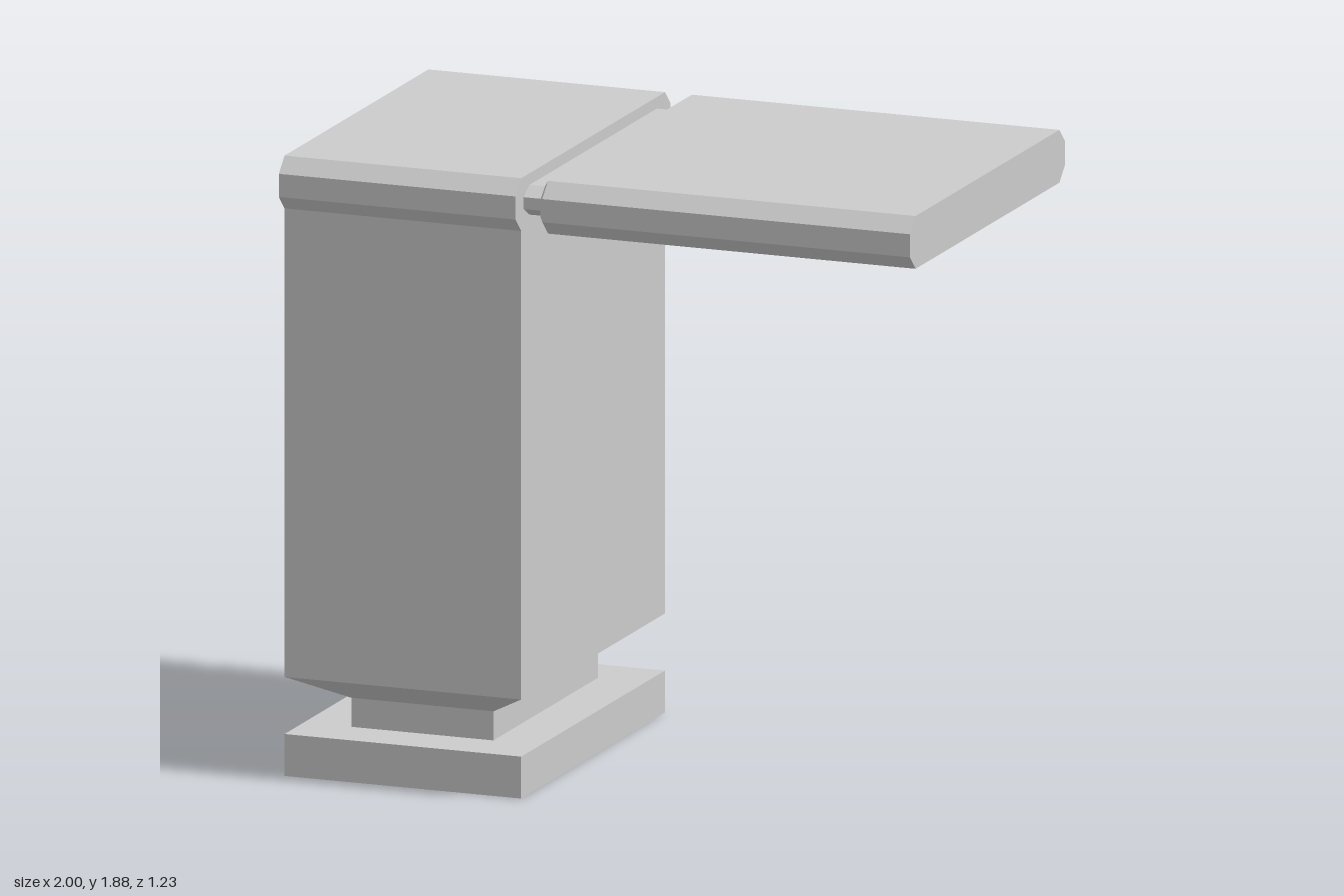
import * as THREE from 'three';

// Closed flat-faced solid through rings of points, each counter-clockwise seen from the far end
function loft(rings) {
  const pos = [];
  const tri = (...pts) => pts.forEach((p) => pos.push(...p));
  const n = rings[0].length;
  for (let i = 0; i < rings.length - 1; i++) {
    for (let j = 0; j < n; j++) {
      const k = (j + 1) % n;
      const [a, b, c, d] = [rings[i][j], rings[i][k], rings[i + 1][k], rings[i + 1][j]];
      tri(a, b, c);
      tri(a, c, d);
    }
  }
  const first = rings[0], last = rings[rings.length - 1];
  for (let j = 1; j < n - 1; j++) {
    tri(first[0], first[j + 1], first[j]);
    tri(last[0], last[j], last[j + 1]);
  }
  const g = new THREE.BufferGeometry();
  g.setAttribute('position', new THREE.Float32BufferAttribute(pos, 3));
  g.computeVertexNormals();
  return g;
}

// Eight-sided slab section in the yz plane: outer half sizes and the flats they leave
const SLAB_Y = 1.8;
function slabRing(x, halfY, halfZ, flatY, flatZ) {
  return [
    [halfY, -flatZ], [halfY, flatZ], [flatY, halfZ], [-flatY, halfZ],
    [-halfY, flatZ], [-halfY, -flatZ], [-flatY, -halfZ], [flatY, -halfZ],
  ].map(([y, z]) => [x, SLAB_Y + y, z]);
}

// Rectangular section of the pillar at height y
const PILLAR_X = -0.625;
const pillarRing = (y, hx, hz) =>
  [[-hx, hz], [hx, hz], [hx, -hz], [-hx, -hz]].map(([x, z]) => [PILLAR_X + x, y, z]);

export function createModel() {
  const model = new THREE.Group();
  const material = new THREE.MeshStandardMaterial({ color: 0xcccccc, flatShading: true });
  const add = (name, geometry) => {
    const mesh = new THREE.Mesh(geometry, material);
    mesh.name = name;
    model.add(mesh);
  };

  // Foot, recessed neck and pillar with its tapered underside
  add('foot', loft([pillarRing(0, 0.375, 0.57), pillarRing(0.127, 0.375, 0.57)]));
  add('neck', loft([pillarRing(0.127, 0.225, 0.415), pillarRing(0.215, 0.225, 0.415)]));
  add('pillar', loft([
    pillarRing(0.215, 0.225, 0.415),
    pillarRing(0.3, 0.375, 0.57),
    pillarRing(1.72, 0.375, 0.57),
  ]));

  // Chamfered cap on the pillar, thin joint, and overhanging slab with a bevelled inner end
  const full = [0.08, 0.615, 0.035, 0.57];
  const joint = [0.045, 0.55, 0.018, 0.505];
  add('cap', loft([slabRing(-1, ...full), slabRing(-0.25, ...full)]));
  add('joint', loft([slabRing(-0.25, ...joint), slabRing(-0.18, ...joint)]));
  add('overhang', loft([
    slabRing(-0.18, 0.06, 0.59, 0.029, 0.555),
    slabRing(-0.165, ...full),
    slabRing(1, ...full),
  ]));
  return model;
}
